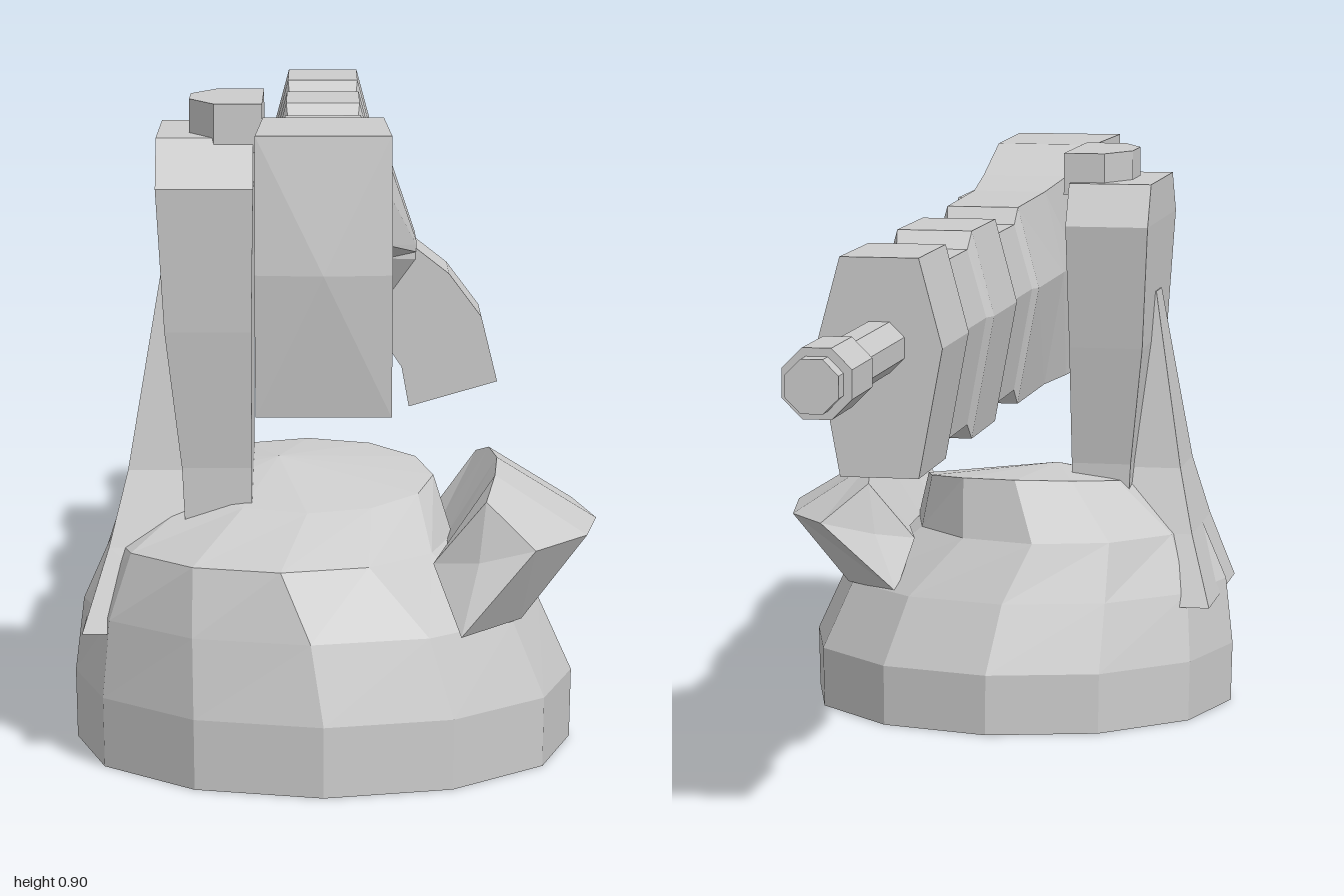
import * as THREE from 'three';

const CX = -0.018; // axis of barrel and base

// Skin a list of equal-length rings, closing both ends with a fan (optional tip for the last).
function loft(rings, tip) {
  const n = rings[0].length, tris = [];
  const mid = r => [0, 1, 2].map(k => r.reduce((s, p) => s + p[k], 0) / n);
  for (let i = 0; i < rings.length - 1; i++) {
    for (let j = 0; j < n; j++) {
      const k = (j + 1) % n, a = rings[i], b = rings[i + 1];
      tris.push([a[j], a[k], b[k]], [a[j], b[k], b[j]]);
    }
  }
  const first = rings[0], last = rings[rings.length - 1];
  const c0 = mid(first), c1 = tip || mid(last);
  for (let j = 0; j < n; j++) {
    const k = (j + 1) % n;
    tris.push([c0, first[k], first[j]], [c1, last[j], last[k]]);
  }
  // turn the faces outward
  const V = p => new THREE.Vector3(...p);
  const o = V(c0);
  const vol = tris.reduce((s, [a, b, c]) =>
    s + V(a).sub(o).dot(V(b).sub(o).cross(V(c).sub(o))), 0);
  if (vol < 0) tris.forEach(t => t.reverse());
  const g = new THREE.BufferGeometry();
  g.setAttribute('position', new THREE.Float32BufferAttribute(tris.flat(2), 3));
  g.computeVertexNormals();
  return g;
}

export function createModel() {
  const group = new THREE.Group();
  const mat = new THREE.MeshStandardMaterial({ color: 0xcccccc, flatShading: true });
  const add = (name, geo) => {
    const m = new THREE.Mesh(geo, mat);
    m.name = name;
    group.add(m);
    return m;
  };

  // Twelve-sided base dome: y, centre x, centre z, radius x, radius z, tilt of the top
  const domeRings = [
    [0, CX, 0.54, 0.343, 0.343, 0],
    [0.095, CX, 0.54, 0.345, 0.343, 0],
    [0.2, -0.035, 0.55, 0.315, 0.305, 0],
    [0.29, -0.075, 0.555, 0.235, 0.265, 0],
    [0.365, -0.04, 0.51, 0.175, 0.18, 0.02],
  ].map(([y, cx, cz, rx, rz, tilt]) => Array.from({ length: 12 }, (_, i) => {
    const a = i * Math.PI / 6;
    return [cx + rx * Math.sin(a), y - tilt * Math.cos(a), cz + rz * Math.cos(a)];
  }));
  add('baseDome', loft(domeRings, [-0.08, 0.39, 0.5]));

  // Curved cradle on the left of the base: bottom, outer lip, top edge, inner foot
  add('baseCradle', loft([
    [[0.15, 0.2, 0.32], [0.27, 0.31, 0.305], [0.2, 0.37, 0.345], [0.13, 0.28, 0.37]],
    [[0.245, 0.2, 0.40], [0.335, 0.31, 0.39], [0.215, 0.39, 0.43], [0.15, 0.29, 0.43]],
    [[0.28, 0.2, 0.54], [0.36, 0.31, 0.54], [0.222, 0.395, 0.54], [0.155, 0.29, 0.54]],
    [[0.25, 0.2, 0.69], [0.34, 0.31, 0.665], [0.215, 0.39, 0.65], [0.15, 0.29, 0.64]],
    [[0.165, 0.2, 0.81], [0.265, 0.31, 0.775], [0.2, 0.37, 0.74], [0.13, 0.28, 0.71]],
  ]));

  // Rectangular ring at height y
  const rect = ([y, x0, x1, z0, z1]) =>
    [[x0, y, z0], [x1, y, z0], [x1, y, z1], [x0, y, z1]];

  // Support arm, its outer buttress and its cap
  add('supportArm', loft([
    [0.3, -0.205, -0.115, 0.43, 0.65],
    [0.4, -0.21, -0.115, 0.43, 0.65],
    [0.59, -0.232, -0.115, 0.40, 0.675],
    [0.785, -0.243, -0.112, 0.375, 0.69],
    [0.85, -0.243, -0.112, 0.41, 0.65],
  ].map(rect)));
  add('armButtress', loft([
    [0.18, -0.345, -0.16, 0.38, 0.70],
    [0.29, -0.31, -0.16, 0.43, 0.65],
    [0.39, -0.285, -0.16, 0.47, 0.61],
    [0.67, -0.238, -0.16, 0.51, 0.57],
  ].map(rect)));
  const cap = [[-0.1, 0.43], [-0.165, 0.43], [-0.2, 0.5], [-0.2, 0.58], [-0.165, 0.655], [-0.1, 0.655]];
  add('armCap', loft([0.83, 0.896].map(y => cap.map(([x, z]) => [x, y, z]))));

  // Barrel housing: z, bottom, top, half widths at bottom, middle and top, middle offset in z
  const barrel = [
    [-0.59, 0.53, 0.833, 0.055, 0.088, 0.055],
    [-0.40, 0.53, 0.833, 0.055, 0.088, 0.055],
    [-0.375, 0.553, 0.808, 0.052, 0.08, 0.052],
    [-0.225, 0.553, 0.808, 0.052, 0.08, 0.052],
    [-0.205, 0.53, 0.833, 0.055, 0.088, 0.055],
    [-0.02, 0.53, 0.833, 0.055, 0.088, 0.055],
    [0.0, 0.553, 0.808, 0.052, 0.08, 0.052],
    [0.155, 0.553, 0.808, 0.052, 0.08, 0.052],
    [0.17, 0.53, 0.833, 0.055, 0.088, 0.055],
    [0.40, 0.53, 0.837, 0.057, 0.088, 0.057],
    [0.54, 0.527, 0.85, 0.068, 0.088, 0.068],
    [0.74, 0.525, 0.886, 0.08, 0.088, 0.08],
    [0.975, 0.525, 0.886, 0.087, 0.088, 0.087, 0.015],
  ].map(([z, b, t, wb, wm, wt, dz = 0]) => [
    [CX - wb, b, z], [CX + wb, b, z], [CX + wm, 0.71, z + dz],
    [CX + wt, t, z], [CX - wt, t, z], [CX - wm, 0.71, z + dz],
  ]);
  add('barrelHousing', loft(barrel, [CX, 0.71, 1.0]));

  // Muzzle rod and sleeve
  for (const [name, r, z0, z1] of [['muzzleRod', 0.038, -1, -0.57], ['muzzleSleeve', 0.05, -0.97, -0.848]]) {
    const g = new THREE.CylinderGeometry(r, r, z1 - z0, 8);
    g.rotateY(Math.PI / 8);
    g.rotateX(Math.PI / 2);
    add(name, g).position.set(CX, 0.71, (z0 + z1) / 2);
  }

  // Faceted trunnion tapering out of the barrel side: [z, y] outlines
  const root = [[0.69, 0.71], [0.675, 0.785], [0.57, 0.825], [0.41, 0.825], [0.35, 0.71], [0.41, 0.61], [0.53, 0.61], [0.6, 0.68]];
  const end = [[0.53, 0.68], [0.53, 0.69], [0.52, 0.695], [0.42, 0.695], [0.41, 0.685], [0.41, 0.66], [0.53, 0.66], [0.53, 0.67]];
  add('trunnion', loft([
    root.map(([z, y]) => [0.04, y, z]),
    root.map(([z, y]) => [0.066, y, z]),
    end.map(([z, y]) => [0.11, y, z]),
  ]));

  // Bent hook hanging from the trunnion
  const hook = new THREE.Shape([
    [0.06, 0.72], [0.11, 0.685], [0.155, 0.65], [0.2, 0.59], [0.222, 0.5],
    [0.1, 0.465], [0.09, 0.52], [0.06, 0.565],
  ].map(p => new THREE.Vector2(...p)));
  const hookGeo = new THREE.ExtrudeGeometry(hook, { depth: 0.125, bevelEnabled: false });
  add('trunnionHook', hookGeo).position.z = 0.407;

  return group;
}
